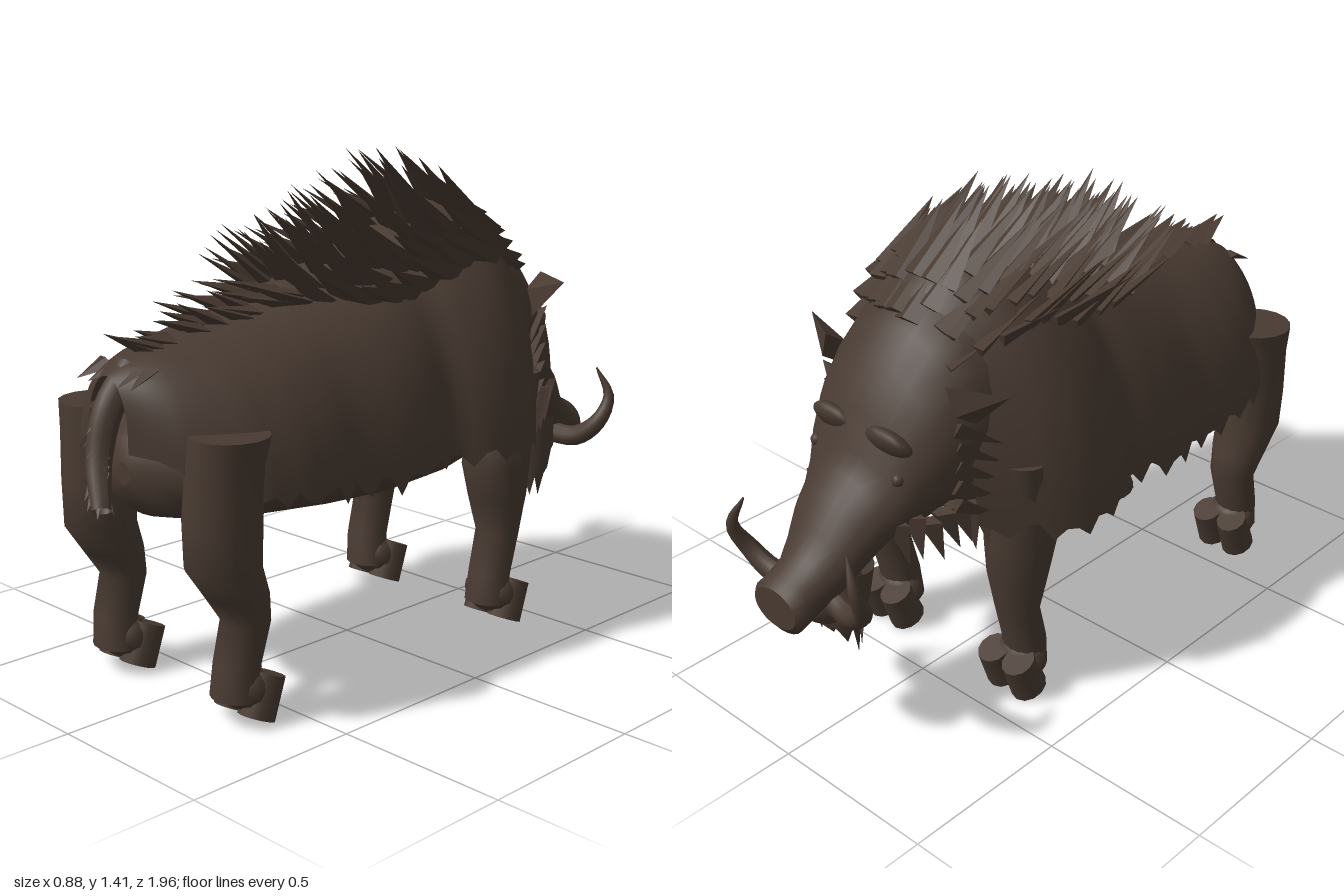
import * as THREE from 'three';
import { mergeGeometries } from 'three/addons/utils/BufferGeometryUtils.js';

const V = (x, y, z) => new THREE.Vector3(x, y, z);
const hide = new THREE.MeshStandardMaterial({ name: 'dark brown hide', color: 0x483a31, side: THREE.DoubleSide });

let seed = 7;
const rand = () => (seed = (seed * 16807) % 2147483647) / 2147483647;
const jit = (a) => (rand() - 0.5) * 2 * a;

// sections: z, half width, top, bottom (the animal faces -z)
const COAT = [
  [0.84, 0.08, 0.91, 0.76], [0.79, 0.2, 0.94, 0.68], [0.72, 0.27, 0.965, 0.62], [0.62, 0.34, 0.985, 0.6], [0.5, 0.375, 1.01, 0.59],
  [0.4, 0.382, 1.03, 0.585], [0.3, 0.375, 1.06, 0.58], [0.15, 0.4, 1.1, 0.58], [0.05, 0.395, 1.14, 0.59], [-0.05, 0.372, 1.17, 0.6],
  [-0.12, 0.42, 1.2, 0.59], [-0.2, 0.443, 1.23, 0.58], [-0.28, 0.438, 1.26, 0.575], [-0.36, 0.405, 1.27, 0.58],
  [-0.45, 0.335, 1.22, 0.59], [-0.53, 0.265, 1.13, 0.62],
];
const BELLY = [
  [0.8, 0.03, 0.68, 0.62], [0.785, 0.11, 0.74, 0.565], [0.74, 0.19, 0.775, 0.53], [0.68, 0.25, 0.79, 0.515], [0.55, 0.32, 0.8, 0.495],
  [0.3, 0.36, 0.8, 0.475], [0.1, 0.37, 0.8, 0.465], [-0.1, 0.36, 0.8, 0.475], [-0.3, 0.33, 0.82, 0.505],
  [-0.45, 0.25, 0.85, 0.56], [-0.58, 0.12, 0.85, 0.62],
];
const HEAD = [
  [-0.4, 0.27, 1.21, 0.61], [-0.48, 0.265, 1.18, 0.6], [-0.55, 0.255, 1.12, 0.59], [-0.62, 0.235, 1.035, 0.58], [-0.68, 0.2, 0.935, 0.57],
  [-0.72, 0.172, 0.83, 0.56], [-0.76, 0.152, 0.775, 0.53], [-0.81, 0.135, 0.73, 0.49], [-0.86, 0.112, 0.655, 0.45],
  [-0.91, 0.092, 0.595, 0.425], [-0.96, 0.094, 0.56, 0.41], [-0.985, 0.096, 0.55, 0.405], [-1.0, 0.08, 0.535, 0.425],
];

// linear lookup in a section list
function at(list, z) {
  let i = 0;
  while (i < list.length - 2 && z < list[i + 1][0]) i++;
  const a = list[i], b = list[i + 1], k = (z - a[0]) / (b[0] - a[0]);
  return a.map((v, j) => v + (b[j] - v) * k);
}

// skin over rings of equal point count
function loft(rings, closed, caps) {
  const n = rings[0].length, pos = [], idx = [];
  rings.forEach((r) => r.forEach((p) => pos.push(p.x, p.y, p.z)));
  for (let i = 0; i < rings.length - 1; i++) {
    for (let j = 0; j < (closed ? n : n - 1); j++) {
      const a = i * n + j, b = i * n + ((j + 1) % n);
      idx.push(a, b, a + n, b, b + n, a + n);
    }
  }
  if (caps) {
    [0, rings.length - 1].forEach((i) => {
      const c = pos.length / 3, m = V(0, 0, 0);
      rings[i].forEach((p) => m.addScaledVector(p, 1 / n));
      rings[i].forEach((p) => pos.push(p.x, p.y, p.z));
      pos.push(m.x, m.y, m.z);
      for (let j = 0; j < n; j++) {
        const a = c + j, b = c + ((j + 1) % n);
        if (i) idx.push(a, b, c + n); else idx.push(b, a, c + n);
      }
    });
  }
  const g = new THREE.BufferGeometry();
  g.setAttribute('position', new THREE.Float32BufferAttribute(pos, 3));
  g.setIndex(idx);
  g.computeVertexNormals();
  return g;
}

// closed elliptical body running along z
function tubeBody(list, n = 28) {
  return loft(list.map(([z, w, top, bot]) => Array.from({ length: n }, (_, j) => {
    const t = -(j / n) * Math.PI * 2;
    return V(w * Math.sin(t), (top + bot) / 2 + ((top - bot) / 2) * Math.cos(t), z);
  })), true, true);
}

// point on the arched coat; t = 0 on the spine, +-PI/2 at the hem
function coatPoint(z, t) {
  const [, w, top, bot] = at(COAT, z);
  return V(w * Math.sin(t), bot + (top - bot) * Math.cos(t), z);
}

// flat pointed lock of hair lying along dir
function lock(base, dir, len, width, thin = 0.4) {
  const g = new THREE.ConeGeometry(width, len, 4).toNonIndexed();
  g.scale(1, 1, thin);
  g.translate(0, len * 0.4, 0);
  const d = dir.clone().normalize();
  const side = V(base.x >= 0 ? 1 : -1, 0, 0).lerp(V(0, 1, 0), Math.min(Math.abs(base.x) * 2, 0.8));
  const nrm = V(0, 0, 0).crossVectors(side, d).normalize();
  g.applyMatrix4(new THREE.Matrix4().makeBasis(V(0, 0, 0).crossVectors(d, nrm), d, nrm));
  g.translate(base.x, base.y, base.z);
  g.computeVertexNormals();
  return g;
}

// curved tube narrowing to its end
function taper(points, r, end) {
  const curve = new THREE.CatmullRomCurve3(points), seg = 16, sides = 10;
  const g = new THREE.TubeGeometry(curve, seg, r, sides), p = g.attributes.position;
  for (let i = 0; i < p.count; i++) {
    const k = Math.floor(i / (sides + 1)) / seg, c = curve.getPointAt(k);
    const v = V(0, 0, 0).fromBufferAttribute(p, i).sub(c).multiplyScalar(1 + (end - 1) * k * k).add(c);
    p.setXYZ(i, v.x, v.y, v.z);
  }
  g.computeVertexNormals();
  return g;
}

// leg rings: y, centre x, centre z, half width, half depth
const HIND = [[0.78, 0.27, 0.675, 0.105, 0.105], [0.7, 0.262, 0.685, 0.1, 0.1], [0.56, 0.255, 0.69, 0.105, 0.1], [0.44, 0.255, 0.69, 0.098, 0.1],
  [0.36, 0.257, 0.65, 0.085, 0.085], [0.28, 0.256, 0.62, 0.072, 0.06], [0.17, 0.255, 0.65, 0.066, 0.06], [0.08, 0.25, 0.66, 0.07, 0.055]];
const FORE = [[0.78, 0.27, -0.4, 0.1, 0.065], [0.6, 0.262, -0.37, 0.103, 0.09], [0.5, 0.258, -0.36, 0.1, 0.1],
  [0.4, 0.257, -0.37, 0.087, 0.085], [0.29, 0.256, -0.375, 0.07, 0.055], [0.17, 0.255, -0.345, 0.066, 0.058], [0.08, 0.25, -0.335, 0.068, 0.055]];

function leg(rings, s) {
  return loft(rings.map(([y, x, z, rx, rz]) => Array.from({ length: 16 }, (_, j) => {
    const t = (j / 16) * Math.PI * 2;
    return V(s * x + rx * Math.cos(t), y, z + rz * Math.sin(t));
  })), true, true);
}

export function createModel() {
  const model = new THREE.Group();
  const add = (name, geo) => {
    const m = new THREE.Mesh(geo, hide);
    m.name = name;
    model.add(m);
    return m;
  };

  // trunk: smooth belly under a coat with a ragged hem
  add('belly', tubeBody(BELLY));
  const rings = [];
  for (let i = 0; i <= 44; i++) {
    const z = 0.84 - (1.37 * i) / 44, ring = [];
    for (let j = 0; j <= 26; j++) {
      const p = coatPoint(z, (0.5 - j / 26) * Math.PI);
      if (j === 0 || j === 26) p.y += (i % 3 ? 0.012 : -0.02) + jit(0.018);
      ring.push(p);
    }
    rings.push(ring);
  }
  add('coat', loft(rings, false, false));

  // mane: rows of broad swept-back locks, narrowing toward the tail
  const locks = [];
  for (let r = 0; r < 21; r++) {
    const z = -0.49 + r * 0.06;
    const spread = z < 0 ? 0.64 : Math.max(0.05, 0.64 - z * 1.15);
    const len = z < 0.2 ? 0.24 : Math.max(0.13, 0.24 - (z - 0.2) * 0.3);
    const count = Math.max(2, Math.round(spread * 15));
    for (let c = 0; c < count; c++) {
      const t = (c / (count - 1) * 2 - 1) * spread + jit(0.04);
      const lift = (z < 0.25 ? 0.9 : 0.35) * (1 - Math.abs(t) * 0.75);
      const dir = V(Math.sin(t) * 0.3 + jit(0.1), lift * Math.cos(t) + jit(0.12), 0.9 + jit(0.1));
      locks.push(lock(coatPoint(Math.min(z + jit(0.02), 0.76), t), dir, len * (1 + jit(0.2)), 0.046));
    }
  }
  add('mane', mergeGeometries(locks));

  // head
  add('head', tubeBody(HEAD, 24));
  add('lowerJaw', new THREE.SphereGeometry(1, 16, 10).scale(0.09, 0.08, 0.1).translate(0, 0.44, -0.82));

  // beard: ragged skirt of hair around the chin
  const skirt = [[0.54, 0.125, 0.075, -0.79], [0.45, 0.115, 0.07, -0.8], [0.36, 0.095, 0.055, -0.805], [0.3, 0.075, 0.04, -0.795]];
  add('beard', loft(skirt.map(([y, rx, rz, z], i) => Array.from({ length: 20 }, (_, j) => {
    const t = (j / 20) * Math.PI * 2, front = Math.max(0, -Math.sin(t));
    const ragged = i === 3 ? (j % 2 ? 0.03 : -0.03) + front * 0.06 : 0;
    return V(rx * Math.cos(t), y + ragged, z + rz * Math.sin(t));
  })), true, false));

  for (const s of [1, -1]) {
    const side = s > 0 ? 'left' : 'right';
    add(side + 'Tusk', taper([V(s * 0.06, 0.47, -0.86), V(s * 0.15, 0.465, -0.88), V(s * 0.225, 0.52, -0.9),
      V(s * 0.24, 0.6, -0.935), V(s * 0.2, 0.69, -0.92)], 0.034, 0.08));
    add(side + 'Brow', new THREE.SphereGeometry(1, 12, 8).scale(0.08, 0.03, 0.06).rotateX(0.9).translate(s * 0.1, 0.865, -0.672));
    add(side + 'Eye', new THREE.SphereGeometry(0.018, 10, 8).translate(s * 0.155, 0.79, -0.7));
    add(side + 'Ear', lock(V(s * 0.25, 0.98, -0.55), V(s * 0.85, 0.35, 0.25), 0.15, 0.075, 0.5));

    // cheek ruff
    const ruff = [];
    for (let i = 0; i < 7; i++) {
      const z = -0.48 - i * 0.038, h = at(HEAD, z);
      ruff.push(lock(V(s * h[1] * 0.85, 0.655 + jit(0.015), z), V(s * 0.2, -1, 0.2 + jit(0.2)), 0.13, 0.05));
    }
    for (let i = 0; i < 5; i++) {
      ruff.push(lock(V(s * 0.235, 0.68 + i * 0.055, -0.56), V(s * 0.45, -0.35, 0.7), 0.14, 0.05));
    }
    add(side + 'CheekRuff', mergeGeometries(ruff));

    // legs with cloven hooves
    [['Hind', HIND, 0.6], ['Fore', FORE, -0.39]].forEach(([name, data, z]) => {
      add(side + name + 'Leg', leg(data, s));
      add(side + name + 'Ankle', new THREE.SphereGeometry(1, 14, 10).scale(0.085, 0.065, 0.06).translate(s * 0.25, 0.105, z + 0.035));
      for (const k of [-1, 1]) {
        const hoof = new THREE.CylinderGeometry(0.046, 0.05, 0.118, 12).scale(0.98, 1, 1.08);
        const m = add(side + name + 'Hoof', hoof);
        m.rotation.x = -0.38;
        m.position.set(s * 0.248 + k * 0.046, 0.079, z);
      }
    });
  }

  // tail with ragged hair
  const tail = [V(0, 0.92, 0.76), V(0.005, 0.83, 0.84), V(0.025, 0.71, 0.89), V(0.09, 0.6, 0.935)];
  add('tail', taper(tail, 0.042, 0.6));
  const path = new THREE.CatmullRomCurve3(tail), hair = [];
  for (let i = 0; i < 22; i++) {
    const k = 0.1 + (i / 21) * 0.7;
    const d = path.getTangentAt(k).add(V(jit(0.25), 0, (i % 2 ? 0.3 : -0.3) + jit(0.1)));
    hair.push(lock(path.getPointAt(k), d, 0.12, 0.036, 0.6));
  }
  for (const x of [-0.09, -0.05, 0.05, 0.09]) hair.push(lock(V(x, 0.92, 0.78), V(x * 2, -0.3, 0.7), 0.09, 0.035));
  add('tailHair', mergeGeometries(hair));

  return model;
}
